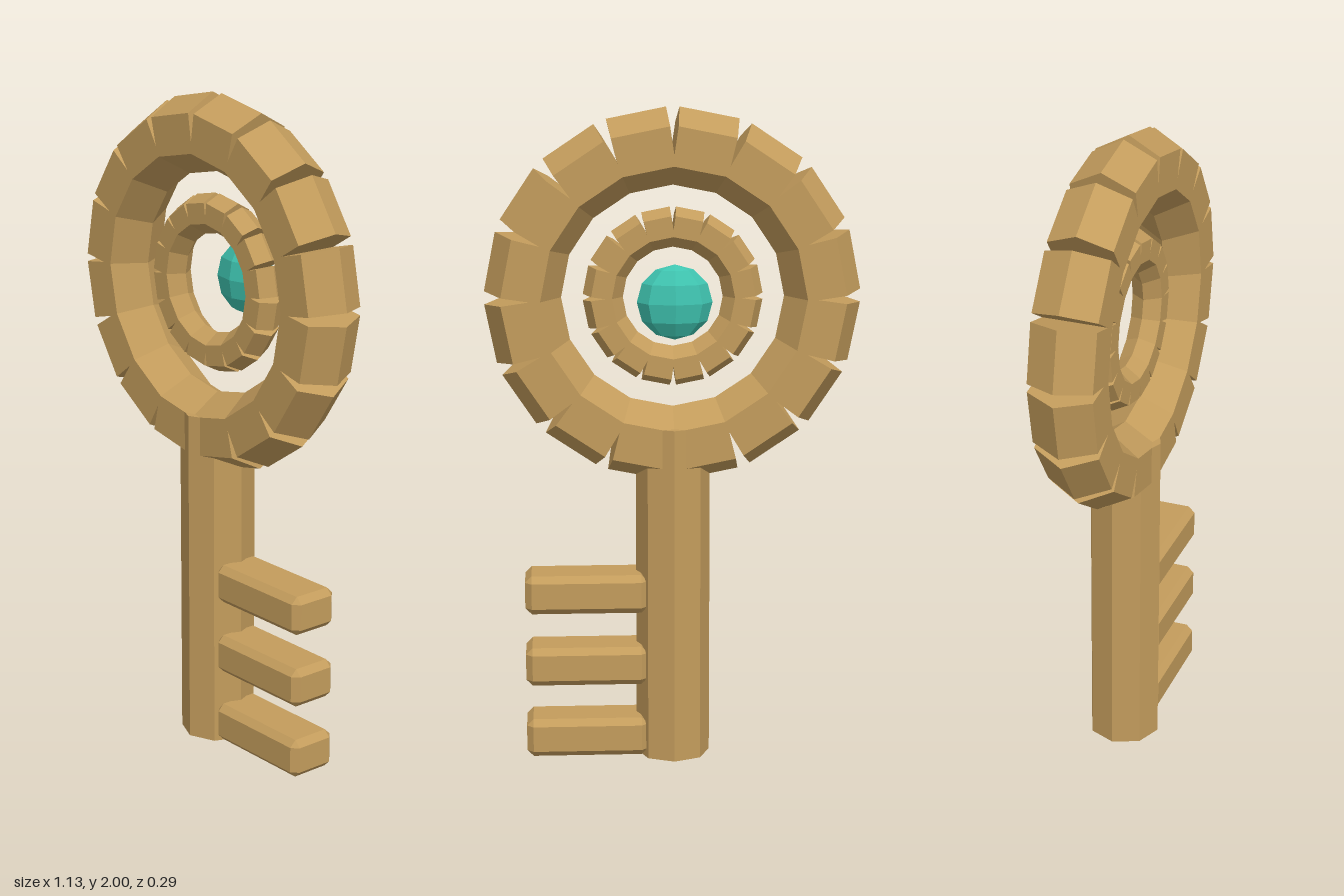
import * as THREE from 'three';
import { ConvexGeometry } from 'three/addons/geometries/ConvexGeometry.js';

const MID_Z = 0.032;
const HEAD_Y = 1.435;

// Ring of blocks with a hexagonal section, split by V notches on the outside.
// Each section point is [radius, sideways inset from the notch line, z].
function notchedRing(section, blocks) {
  const pos = [];
  const tri = (...pts) => pts.forEach((p) => pos.push(...p));
  const loop = (angle, side) => section.map(([r, t, z]) => [
    r * Math.cos(angle) - side * t * Math.sin(angle),
    r * Math.sin(angle) + side * t * Math.cos(angle),
    z,
  ]);
  const n = section.length;
  for (let k = 0; k < blocks; k++) {
    const a = loop((k / blocks) * Math.PI * 2, 1);
    const b = loop(((k + 1) / blocks) * Math.PI * 2, -1);
    for (let j = 0; j < n; j++) {
      const m = (j + 1) % n;
      tri(a[j], a[m], b[m]);
      tri(a[j], b[m], b[j]);
    }
    // notch walls, fanned from the front root point (index 2) to the back root (6)
    for (let j = 3; j < 6; j++) {
      tri(a[2], a[j + 1], a[j]);
      tri(b[2], b[j], b[j + 1]);
    }
  }
  const g = new THREE.BufferGeometry();
  g.setAttribute('position', new THREE.Float32BufferAttribute(pos, 3));
  g.computeVertexNormals();
  return g;
}

function ringSection(innerMid, innerFace, root, outerFace, outerMid, gap, halfDepth) {
  const faceGap = (gap * (outerFace - root)) / (outerMid - root);
  return [
    [innerMid, 0, 0],
    [innerFace, 0, halfDepth],
    [root, 0, halfDepth],
    [outerFace, faceGap, halfDepth],
    [outerMid, gap, 0],
    [outerFace, faceGap, -halfDepth],
    [root, 0, -halfDepth],
    [innerFace, 0, -halfDepth],
  ];
}

// Box with every edge cut by a flat chamfer
function chamferedBox(w, h, d, c) {
  const pts = [];
  for (const x of [-1, 1]) for (const y of [-1, 1]) for (const z of [-1, 1]) {
    for (let axis = 0; axis < 3; axis++) {
      const cut = [c, c, c];
      cut[axis] = 0;
      pts.push(new THREE.Vector3(x * (w / 2 - cut[0]), y * (h / 2 - cut[1]), z * (d / 2 - cut[2])));
    }
  }
  return new ConvexGeometry(pts);
}

export function createModel() {
  const model = new THREE.Group();
  model.name = 'key';
  const gold = new THREE.MeshStandardMaterial({ color: 0xc39c5c, flatShading: true });
  const teal = new THREE.MeshStandardMaterial({ color: 0x3fc4b0, flatShading: true });

  const add = (name, geometry, material, x, y, z) => {
    const mesh = new THREE.Mesh(geometry, material);
    mesh.name = name;
    mesh.position.set(x, y, z);
    model.add(mesh);
    return mesh;
  };

  // Head: two concentric notched rings
  add('outerRing', notchedRing(ringSection(0.335, 0.397, 0.43, 0.514, 0.565, 0.02, 0.098), 16),
    gold, 0, HEAD_Y, MID_Z);
  add('innerRing', notchedRing(ringSection(0.15, 0.184, 0.204, 0.246, 0.27, 0.0095, 0.0465), 16),
    gold, 0, HEAD_Y, MID_Z);

  // Flattened gem set toward the back
  const gem = add('gem', new THREE.SphereGeometry(0.112, 8, 6), teal, 0, HEAD_Y, -0.08);
  gem.scale.z = 0.59;

  // Octagonal shaft
  add('shaft', new THREE.CylinderGeometry(0.113, 0.113, 1.045, 8), gold, 0, 0.5225, MID_Z);

  // Three teeth on the left side
  const tooth = chamferedBox(0.375, 0.12, 0.158, 0.02);
  for (let i = 0; i < 3; i++) add('tooth' + (i + 1), tooth, gold, 0.267, 0.067 + i * 0.229, MID_Z);

  return model;
}
